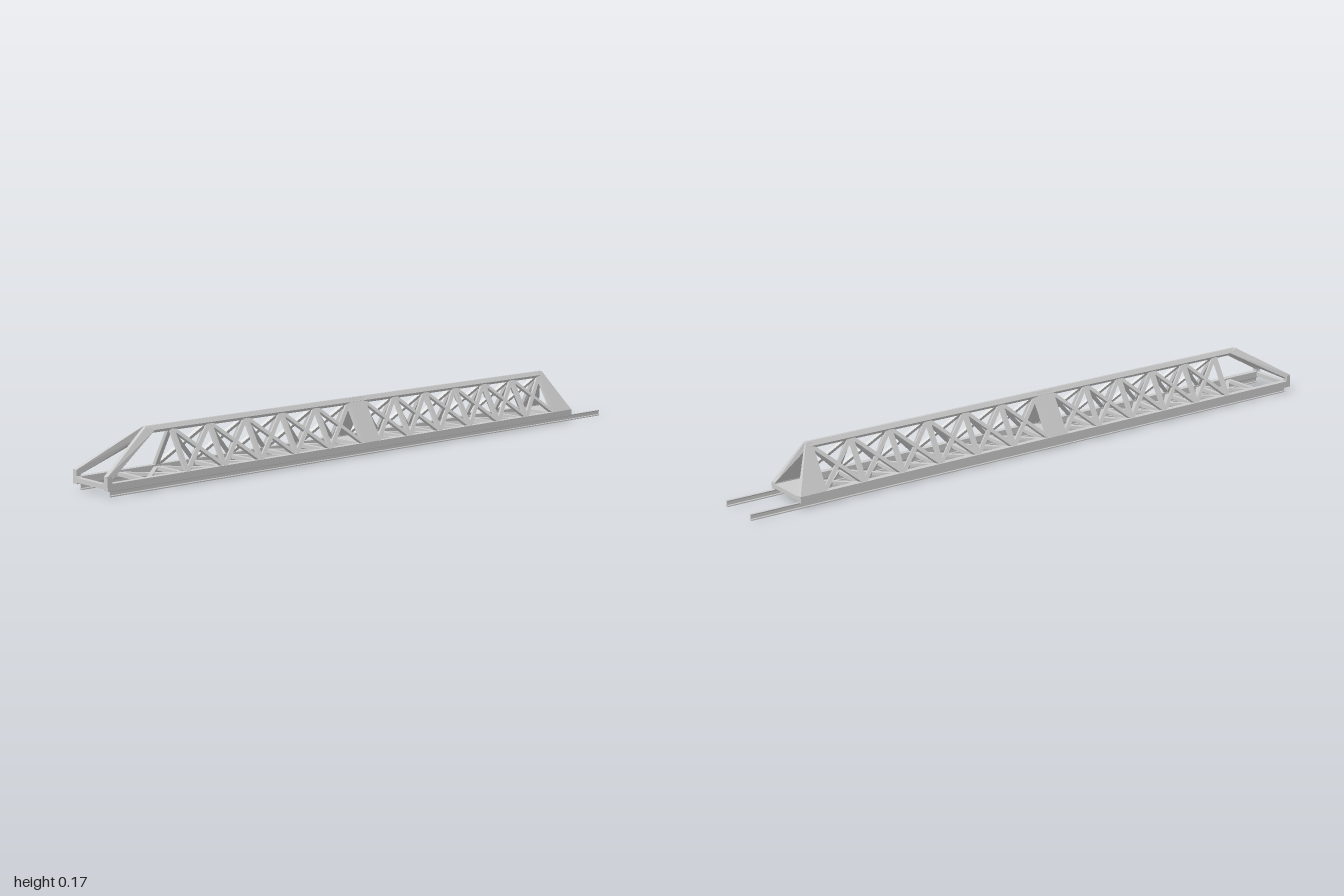
import * as THREE from 'three';
import { ConvexGeometry } from 'three/addons/geometries/ConvexGeometry.js';

export function createModel() {
  const root = new THREE.Group();
  root.name = 'trussBoom';
  const mat = new THREE.MeshStandardMaterial({ color: 0xcccccc, flatShading: true });
  const V = (x, y, z) => new THREE.Vector3(x, y, z);

  const add = (geo, name, parent = root) => {
    const m = new THREE.Mesh(geo, mat);
    m.name = name;
    parent.add(m);
    return m;
  };
  const group = (name) => {
    const g = new THREE.Group();
    g.name = name;
    root.add(g);
    return g;
  };
  // Box between two points, thickness t measured along the given normal
  const bar = (a, b, w, t, normal, name, parent) => {
    const dir = b.clone().sub(a);
    const len = dir.length();
    dir.normalize();
    const side = new THREE.Vector3().crossVectors(normal, dir).normalize();
    const up = new THREE.Vector3().crossVectors(dir, side);
    const m = add(new THREE.BoxGeometry(w, t, len), name, parent);
    m.quaternion.setFromRotationMatrix(new THREE.Matrix4().makeBasis(side, up, dir));
    m.position.copy(a).add(b).multiplyScalar(0.5);
  };
  const hull = (pts, name, parent) => add(new ConvexGeometry(pts.map((p) => V(...p))), name, parent);
  // Constant section along z
  const extrude = (pts, z0, z1, name, x = 0) => {
    const shape = new THREE.Shape(pts.map(([px, py]) => new THREE.Vector2(px, py)));
    const m = add(new THREE.ExtrudeGeometry(shape, { depth: z1 - z0, bevelEnabled: false }), name);
    m.position.set(x, 0, z0);
  };
  const box = (w, h, d, x, y, z, name) => {
    add(new THREE.BoxGeometry(w, h, d), name).position.set(x, y, z);
  };

  // Ridge chord
  extrude([[-0.008, 0.144], [0.008, 0.144], [0.013, 0.152], [0.004, 0.164], [-0.004, 0.164], [-0.013, 0.152]],
    -0.782, 0.815, 'topChord');

  // Bottom chords, I-section rails and end frame, mirrored
  const rail = [[-0.0045, 0], [0.0045, 0], [0.0045, 0.003], [0.002, 0.005], [0.002, 0.014], [0.0045, 0.018],
    [-0.0045, 0.018], [-0.002, 0.014], [-0.002, 0.005], [-0.0045, 0.003]];
  for (const s of [1, -1]) {
    box(0.018, 0.02, 1.85, s * 0.071, 0.028, 0.075, 'bottomChord');
    extrude(rail, -1, 0.985, 'rail', s * 0.067);
    hull([
      [s * 0.08, 0.018, 1], [s * 0.063, 0.018, 1], [s * 0.08, 0.018, 0.985], [s * 0.063, 0.018, 0.985],
      [s * 0.08, 0.057, 1], [s * 0.063, 0.057, 1], [s * 0.08, 0.057, 0.985], [s * 0.063, 0.045, 0.985],
    ], 'frontPost');
    hull([
      [s * 0.08, 0.058, 1], [s * 0.064, 0.057, 1], [s * 0.062, 0.045, 0.985], [s * 0.08, 0.048, 0.985],
      [s * 0.008, 0.162, 0.82], [0, 0.165, 0.82], [0, 0.143, 0.815], [0, 0.143, 0.79], [s * 0.012, 0.153, 0.79],
    ], 'frontSlantBar');
    // Corner fillet of the end frame
    hull([
      [s * 0.064, 0.033, 1], [s * 0.056, 0.033, 1], [s * 0.064, 0.041, 1],
      [s * 0.064, 0.033, 0.985], [s * 0.056, 0.033, 0.985], [s * 0.064, 0.041, 0.985],
    ], 'frontGusset');
  }
  box(0.14, 0.013, 0.015, 0, 0.0285, 0.992, 'frontCrossBeam');

  // Points on the side walls and on the floor
  const low = (s, z) => V(s * 0.072, 0.034, z);
  const high = (s, z) => V(s * 0.004, 0.149, z);
  const wallNormal = (s) => V(s * 0.115, 0.068, 0).normalize();
  const floorAt = (s, z) => V(s * 0.068, 0.028, z);
  const UP = V(0, 1, 0);

  // Cross-braced walls and floor, in two runs of bays
  const braces = group('bracing');
  const floorCross = (z0, z1) => {
    bar(floorAt(1, z0), floorAt(-1, z1), 0.012, 0.01, UP, 'floorDiagonal', braces);
    bar(floorAt(-1, z0), floorAt(1, z1), 0.012, 0.009, UP, 'floorDiagonal', braces);
  };
  for (const [start, end, bays] of [[0.73, 0.07, 5], [0.012, -0.77, 6]]) {
    const step = (end - start) / bays;
    for (let i = 0; i <= bays; i++) {
      const z = start + i * step;
      bar(floorAt(-1, z), floorAt(1, z), 0.013, 0.011, UP, 'floorCrossbar', braces);
      if (i < bays) floorCross(z, z + step);
      for (const s of [1, -1]) {
        bar(low(s, z), high(s, z), 0.013, 0.011, wallNormal(s), 'wallPost', braces);
        if (i === bays) continue;
        bar(low(s, z), high(s, z + step), 0.012, 0.01, wallNormal(s), 'wallDiagonal', braces);
        bar(high(s, z), low(s, z + step), 0.012, 0.009, wallNormal(s), 'wallDiagonal', braces);
      }
    }
  }
  // Extra floor bay under the open nose
  bar(floorAt(-1, 0.86), floorAt(1, 0.86), 0.013, 0.011, UP, 'floorCrossbar', braces);
  floorCross(0.86, 0.73);

  // Solid plates: straight collar mid-length, sloped collar at the back
  const collar = (zFront, zLow, zHigh, name) => {
    const g = group(name);
    for (const s of [1, -1]) {
      const pts = [];
      for (const [x, y, back] of [[0.08, 0.037, zLow], [0.063, 0.037, zLow], [0.006, 0.163, zHigh],
        [0, 0.163, zHigh], [0, 0.138, zHigh]]) {
        pts.push([s * x, y, zFront], [s * x, y, back]);
      }
      hull(pts, 'sidePlate', g);
    }
    const floor = add(new THREE.BoxGeometry(0.14, 0.013, zFront - zLow), 'floorPlate', g);
    floor.position.set(0, 0.0285, (zFront + zLow) / 2);
  };
  collar(0.073, 0.013, 0.013, 'middleCollar');
  collar(-0.768, -0.85, -0.785, 'rearCollar');

  return root;
}
